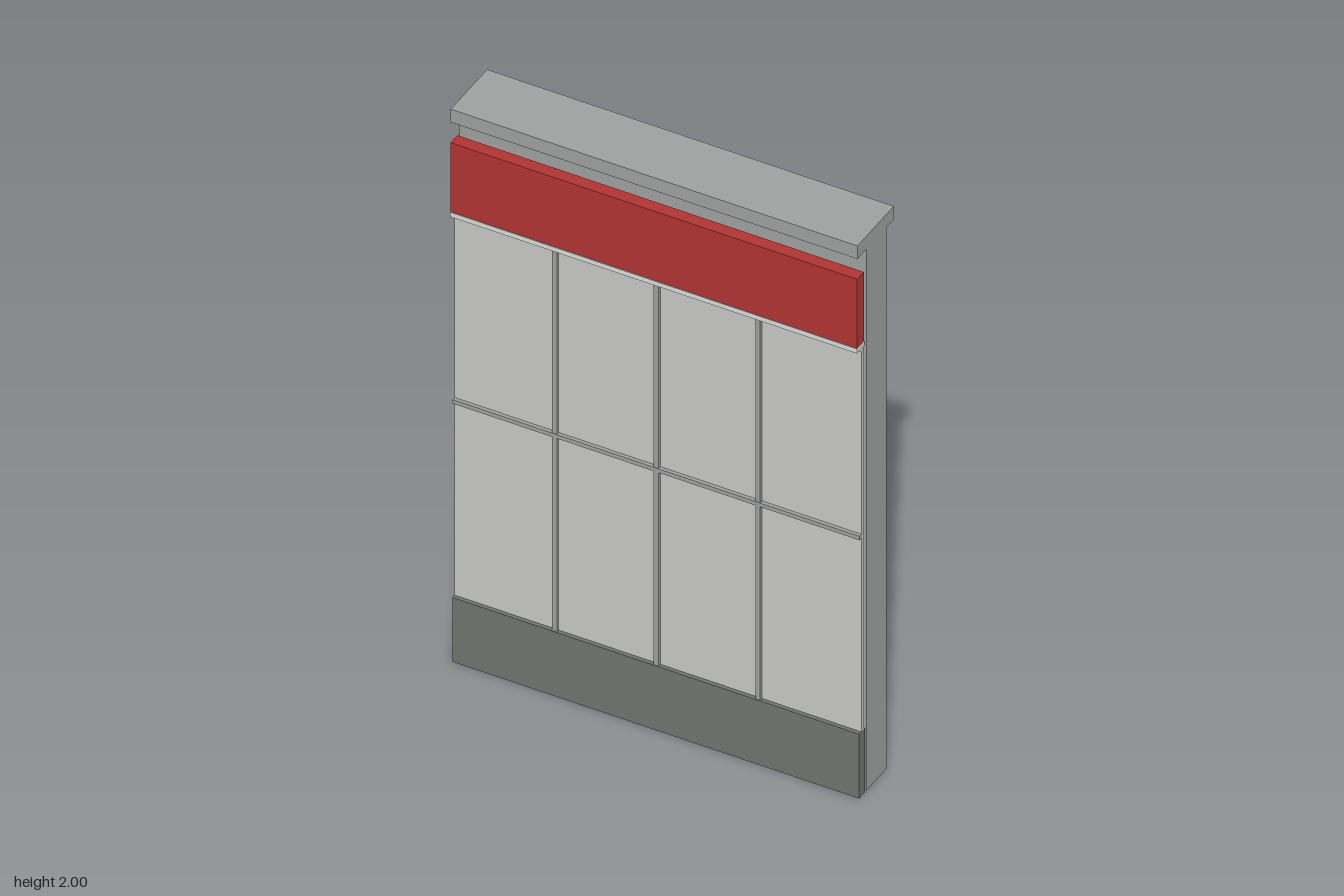
import * as THREE from 'three';

const material = (name, color) => {
  const m = new THREE.MeshStandardMaterial({ color });
  m.name = name;
  return m;
};

export function createModel() {
  const model = new THREE.Group();
  model.name = 'shopfrontWall';

  const grey = material('wallGrey', 0x9fa1a0);
  const beige = material('plasterBeige', 0xc8bea9);
  const red = material('signRed', 0xb13434);
  const pale = material('panelPaleGrey', 0xc8c8c6);
  const white = material('trimWhite', 0xdcdcda);
  const dark = material('plinthDarkGrey', 0x72746e);

  const W = 0.667; // half width

  // Box given by its limits on each axis
  const box = (name, mat, [x0, x1], [y0, y1], [z0, z1]) => {
    const mesh = new THREE.Mesh(new THREE.BoxGeometry(x1 - x0, y1 - y0, z1 - z0), mat);
    mesh.position.set((x0 + x1) / 2, (y0 + y1) / 2, (z0 + z1) / 2);
    mesh.name = name;
    model.add(mesh);
  };
  const full = [-W, W];

  // Wall slab with a plastered back, and the coping on top
  box('wall', [grey, grey, grey, grey, grey, beige], full, [0, 1.953], [-0.065, 0.053]);
  box('coping', grey, full, [1.953, 2], [-0.109, 0.106]);

  // Cladding standing just off the front of the wall
  box('plinth', dark, full, [0, 0.232], [0.062, 0.096]);
  box('panel', pale, full, [0.232, 1.603], [0.066, 0.083]);
  box('signBoard', red, full, [1.63, 1.88], [0.067, 0.107]);
  box('signTrim', white, full, [1.614, 1.63], [0.065, 0.109]);

  // Glazing bars
  for (const x of [-W / 2, 0, W / 2]) {
    box('verticalBar', grey, [x - 0.008, x + 0.008], [0.232, 1.603], [0.083, 0.094]);
  }
  box('horizontalBar', grey, full, [0.931, 0.945], [0.083, 0.095]);

  return model;
}
